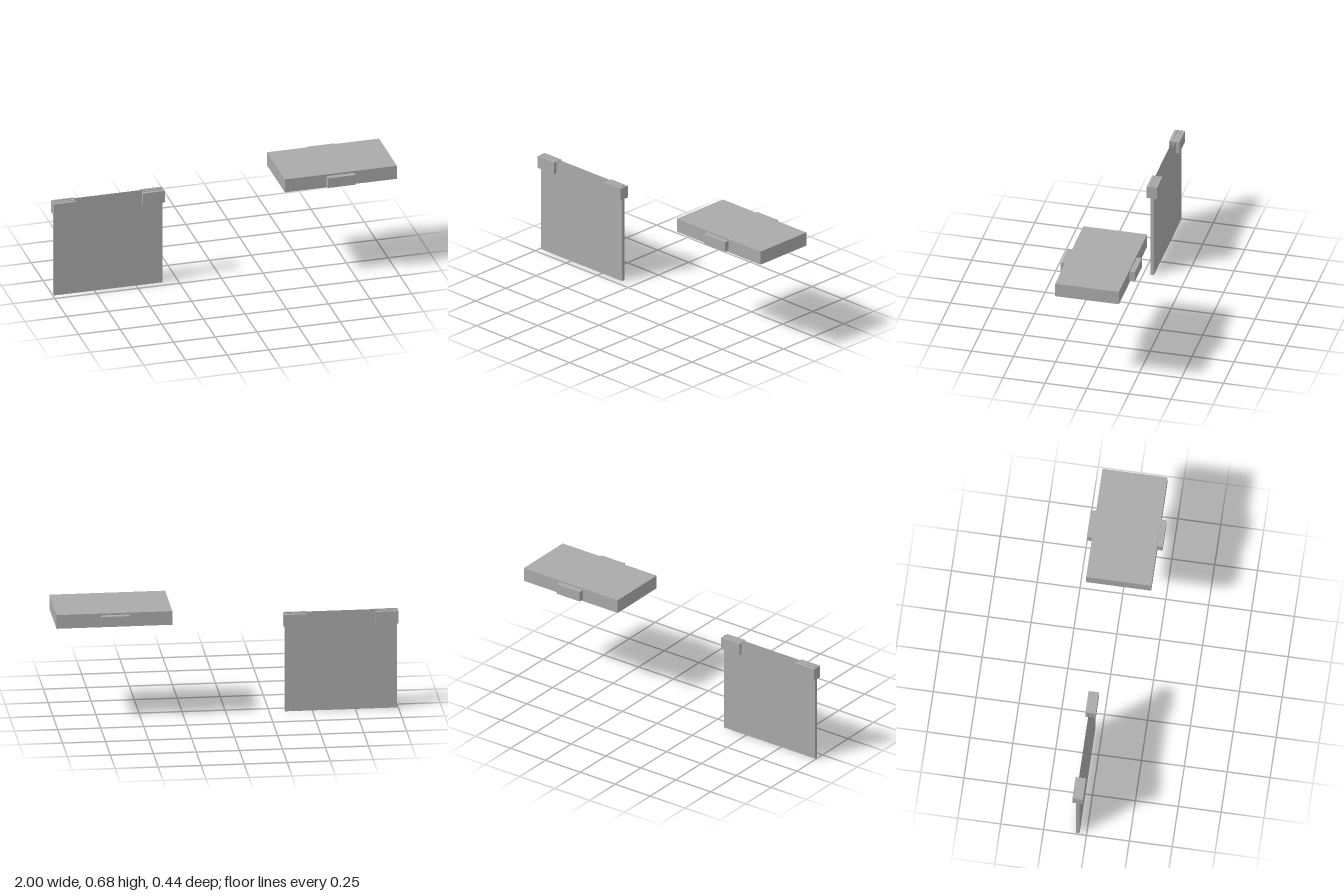
import * as THREE from 'three';

export function createModel() {
  const model = new THREE.Group();
  const grey = new THREE.MeshStandardMaterial({ color: 0xaaaaaa });
  grey.name = 'grey';
  const openGrey = new THREE.MeshStandardMaterial({ color: 0xaaaaaa, side: THREE.DoubleSide });
  openGrey.name = 'open grey';

  // Box given by its lower and upper corners
  function box(name, [x0, y0, z0], [x1, y1, z1], material = grey) {
    const geometry = new THREE.BoxGeometry(x1 - x0, y1 - y0, z1 - z0);
    const mesh = new THREE.Mesh(geometry, material);
    mesh.position.set((x0 + x1) / 2, (y0 + y1) / 2, (z0 + z1) / 2);
    mesh.name = name;
    model.add(mesh);
    return mesh;
  }

  // Flat slab with a small tab on its front and back edges
  box('slab', [0.327, 0.593, -0.19], [1, 0.676, 0.19]);
  box('frontTab', [0.577, 0.603, 0.19], [0.743, 0.665, 0.221]);
  box('backTab', [0.577, 0.603, -0.221], [0.743, 0.665, -0.19]);

  // Upright hollow panel, open along its top edge
  const panel = box('panel', [-0.993, 0, -0.062], [-0.341, 0.596, -0.041], openGrey);
  const index = Array.from(panel.geometry.index.array);
  index.splice(12, 6); // drop the top face
  panel.geometry.setIndex(index);
  panel.geometry.clearGroups();

  // Brackets gripping the panel's upper corners
  for (const [name, x] of [['rightBracket', -1], ['leftBracket', -0.466]]) {
    box(name, [x, 0.518, -0.082], [x + 0.133, 0.592, -0.021]);
  }
  return model;
}
